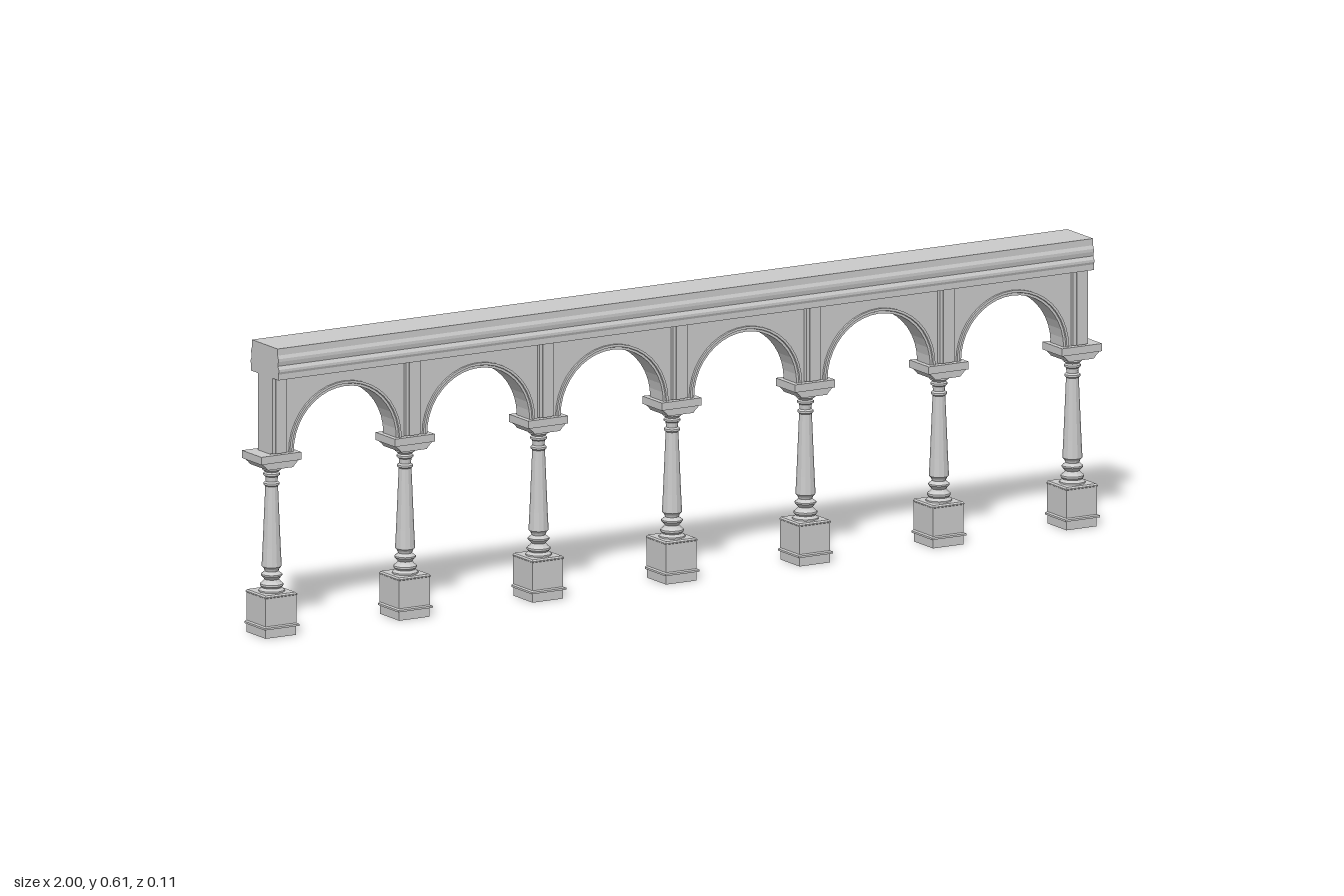
import * as THREE from 'three';

const mat = new THREE.MeshStandardMaterial({ color: 0xcccccc, flatShading: true, side: THREE.DoubleSide });
const SPACING = 0.3175, COUNT = 7, END = 0.97;
const SPRING = 0.38, WALL_TOP = 0.54, WALL_Z = 0.022, WALL_BACK = -0.027;
const R_IN = 0.122, R_OUT = 0.133;

function add(parent, name, geometry, x = 0, y = 0, z = 0) {
  const mesh = new THREE.Mesh(geometry, mat);
  mesh.name = name;
  mesh.position.set(x, y, z);
  parent.add(mesh);
  return mesh;
}

// Skin a surface through a list of cross-sections, each a list of [x, y, z]
function loft(sections) {
  const pos = [];
  for (let i = 0; i + 1 < sections.length; i++) {
    const a = sections[i], b = sections[i + 1];
    for (let j = 0; j + 1 < a.length; j++) {
      pos.push(...a[j], ...b[j], ...b[j + 1], ...a[j], ...b[j + 1], ...a[j + 1]);
    }
  }
  const g = new THREE.BufferGeometry();
  g.setAttribute('position', new THREE.Float32BufferAttribute(pos, 3));
  g.computeVertexNormals();
  return g;
}

// Three-sided moulding, open at the back; the profile is [half width, y]
function openBackBox(profile, back) {
  return loft(profile.map(([r, y]) => [[r, y, back], [r, y, r], [-r, y, r], [-r, y, back]]));
}

const pedestalGeo = openBackBox([
  [0.036, 0], [0.036, 0.018], [0.041, 0.019], [0.041, 0.023], [0.0365, 0.025],
  [0.0365, 0.083], [0.038, 0.084], [0.038, 0.086], [0.035, 0.089], [0, 0.089],
], -0.039);

const baseGeo = new THREE.LatheGeometry([
  [0.027, 0.089], [0.027, 0.092], [0.021, 0.097], [0.024, 0.101], [0.024, 0.105],
  [0.019, 0.109], [0.015, 0.114], [0.022, 0.122], [0.022, 0.125], [0.014, 0.131], [0.016, 0.136],
].map(p => new THREE.Vector2(...p)), 12);

const shaftGeo = new THREE.LatheGeometry([
  [0.016, 0.136], [0.0205, 0.141], [0.0185, 0.18], [0.013, 0.308],
].map(p => new THREE.Vector2(...p)), 12);

const neckGeo = new THREE.LatheGeometry([
  [0.013, 0.308], [0.0165, 0.311], [0.0165, 0.315], [0.012, 0.318], [0.013, 0.328],
  [0.017, 0.331], [0.017, 0.335], [0.014, 0.338], [0.02, 0.343], [0.02, 0.35],
].map(p => new THREE.Vector2(...p)), 12);

// Bracket capital flaring sideways under a flat abacus
const bracketShape = new THREE.Shape([
  [-0.03, 0.35], [0.03, 0.35], [0.034, 0.355], [0.044, 0.364], [-0.044, 0.364], [-0.034, 0.355],
].map(p => new THREE.Vector2(...p)));
const bracketGeo = new THREE.ExtrudeGeometry(bracketShape, { depth: 0.07, bevelEnabled: false });
const abacusGeo = new THREE.BoxGeometry(0.095, 0.016, 0.076);

function column(x) {
  const g = new THREE.Group();
  g.name = 'column';
  g.position.set(x, 0, -0.002);
  add(g, 'pedestal', pedestalGeo);
  add(g, 'columnBase', baseGeo);
  add(g, 'shaft', shaftGeo);
  add(g, 'neck', neckGeo);
  add(g, 'bracketCapital', bracketGeo, 0, 0, -0.035);
  add(g, 'abacus', abacusGeo, 0, 0.372, 0);
  return g;
}

// Cornice section [z, y], shared by the long moulding and the cross panels
const cornice = [[0.053, 0.54], [0.053, 0.552], [0.055, 0.557], [0.055, 0.562], [0.051, 0.569],
  [0.053, 0.578], [0.053, 0.584], [0.05, 0.591], [0.05, 0.605]];

function crossPanelGeometry() {
  const pts = [[WALL_BACK, SPRING], [WALL_Z, SPRING], [WALL_Z, WALL_TOP], ...cornice,
    ...[...cornice].reverse().map(([z, y]) => [-z, y]), [WALL_BACK, WALL_TOP]];
  const shape = new THREE.Shape(pts.map(([z, y]) => new THREE.Vector2(-z, y)));
  return new THREE.ShapeGeometry(shape).rotateY(Math.PI / 2);
}

// Raised archivolt and the soffit behind it, following the half circle
function archGeometry() {
  const section = [[R_OUT, WALL_Z], [R_OUT, 0.027], [0.128, 0.027], [0.127, 0.024], [R_IN, 0.024], [R_IN, WALL_BACK]];
  const rings = [];
  for (let i = 0; i <= 20; i++) {
    const a = Math.PI * i / 20;
    rings.push(section.map(([r, z]) => [r * Math.cos(a), SPRING + r * Math.sin(a), z]));
  }
  return loft(rings);
}

export function createModel() {
  const model = new THREE.Group();
  model.name = 'arcade';
  const xs = Array.from({ length: COUNT }, (_, i) => (i - (COUNT - 1) / 2) * SPACING);

  // Spandrel wall with one continuous scalloped lower edge
  const wall = new THREE.Shape();
  wall.moveTo(-END, WALL_TOP);
  wall.lineTo(-END, SPRING);
  for (let i = 0; i + 1 < COUNT; i++) {
    const c = xs[i] + SPACING / 2;
    wall.lineTo(c - R_IN, SPRING);
    wall.absarc(c, SPRING, R_IN, Math.PI, 0, true);
  }
  wall.lineTo(END, SPRING);
  wall.lineTo(END, WALL_TOP);
  add(model, 'spandrelWall', new THREE.ShapeGeometry(wall, 20), 0, 0, WALL_Z);

  // Arches
  const archGeo = archGeometry();
  for (let i = 0; i + 1 < COUNT; i++) add(model, 'arch', archGeo, xs[i] + SPACING / 2);

  // Columns, pilasters and the cross panels behind them
  const panelGeo = crossPanelGeometry();
  const pilasterGeo = new THREE.BoxGeometry(0.035, WALL_TOP - 0.382, 0.009);
  const filletGeo = new THREE.BoxGeometry(0.02, WALL_TOP - 0.382, 0.003);
  for (const x of xs) {
    model.add(column(x));
    add(model, 'pilaster', pilasterGeo, x, (WALL_TOP + 0.382) / 2, 0.0255);
    add(model, 'pilasterFillet', filletGeo, x, (WALL_TOP + 0.382) / 2, 0.031);
    for (const s of [-1, 1]) add(model, 'crossPanel', panelGeo, x + s * 0.0175);
  }

  // Cornice: soffit, moulded front and flat top, open at the back
  const profile = [[WALL_Z, WALL_TOP], ...cornice, [-0.05, 0.605]];
  add(model, 'cornice', loft([-END, END].map(x => profile.map(([z, y]) => [x, y, z]))));

  return model;
}
